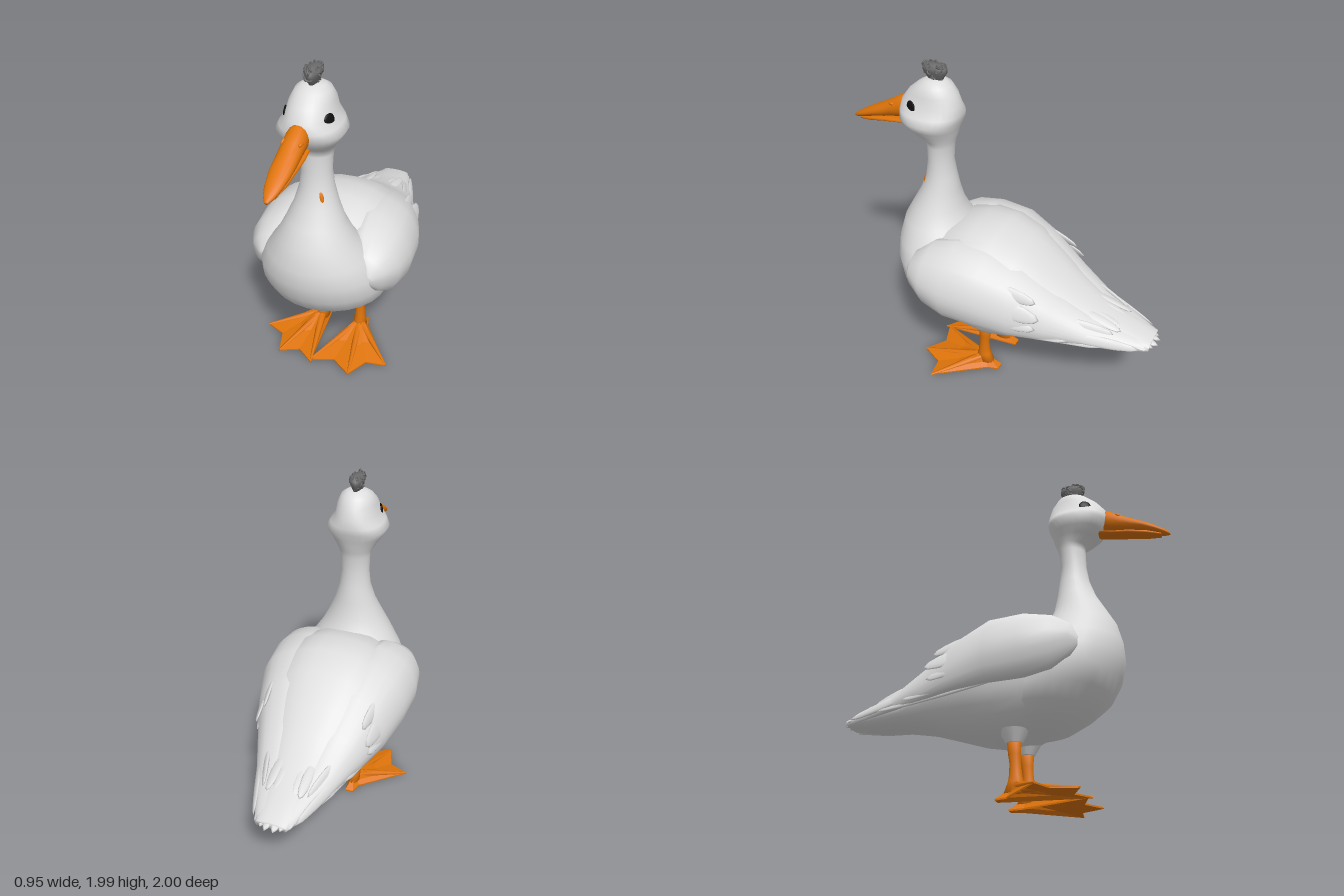
import * as THREE from 'three';

const mat = (name, color) => {
  const m = new THREE.MeshStandardMaterial({ color });
  m.name = name;
  return m;
};
const V = (x, y, z) => new THREE.Vector3(x, y, z);

// Closed skin over a list of rings with equal point counts, wound to face outward
function loft(rings) {
  const n = rings[0].length, pos = [], idx = [];
  rings.forEach(r => r.forEach(p => pos.push(p.x, p.y, p.z)));
  for (let i = 0; i < rings.length - 1; i++)
    for (let j = 0; j < n; j++) {
      const a = i * n + j, b = i * n + (j + 1) % n;
      idx.push(a, b, b + n, a, b + n, a + n);
    }
  [0, rings.length - 1].forEach(i => {
    const c = rings[i].reduce((s, p) => s.add(p), V(0, 0, 0)).divideScalar(n);
    const k = pos.length / 3;
    pos.push(c.x, c.y, c.z);
    for (let j = 0; j < n; j++) {
      const a = i * n + j, b = i * n + (j + 1) % n;
      if (i) idx.push(a, b, k); else idx.push(b, a, k);
    }
  });
  const at = i => V(pos[3 * i], pos[3 * i + 1], pos[3 * i + 2]);
  let volume = 0;
  for (let i = 0; i < idx.length; i += 3) volume += at(idx[i]).dot(at(idx[i + 1]).cross(at(idx[i + 2])));
  if (volume < 0) idx.reverse();
  const g = new THREE.BufferGeometry();
  g.setAttribute('position', new THREE.Float32BufferAttribute(pos, 3));
  g.setIndex(idx);
  g.computeVertexNormals();
  return g;
}

// Oval points (u, v) around the origin; a power below 1 makes it boxier
const oval = (n, power = 1) => Array.from({ length: n }, (_, i) => {
  const a = i / n * Math.PI * 2, f = t => Math.sign(t) * Math.abs(t) ** power;
  return [f(Math.cos(a)), f(Math.sin(a))];
});
// Rows of [z, top, bottom, halfWidth]
const loftZ = (rows, n, power) => loft(rows.map(([z, t, b, w]) =>
  oval(n, power).map(([u, v]) => V(u * w, (t + b) / 2 + v * (t - b) / 2, z))));
// Rows of [y, front, back, halfWidth, power]
const loftY = (rows, n) => loft(rows.map(([y, f, b, w, power]) =>
  oval(n, power).map(([u, v]) => V(u * w, y, (f + b) / 2 + v * (f - b) / 2))));

export function createModel() {
  const model = new THREE.Group();
  const white = mat('white plumage', 0xdedede);
  const orange = mat('orange skin', 0xdf740a);
  const black = mat('black eye', 0x101010);
  const grey = mat('grey tuft', 0x6c6c6c);
  const add = (name, geo, m) => {
    const mesh = new THREE.Mesh(geo, m);
    mesh.name = name;
    model.add(mesh);
    return mesh;
  };
  // Small flat oval spot lying on a surface, facing along a normal
  const spot = (name, m, position, normal, height, width) => {
    const mesh = add(name, new THREE.SphereGeometry(1, 16, 12), m);
    mesh.scale.set(0.009, height, width);
    mesh.position.copy(position);
    mesh.quaternion.setFromUnitVectors(V(1, 0, 0), normal.normalize());
  };

  // Body, from inside the breast to the tail
  add('body', loftZ([
    [0.53, 0.8, 0.64, 0.1], [0.47, 0.9, 0.56, 0.2], [0.4, 0.96, 0.49, 0.28], [0.3, 1.03, 0.415, 0.34],
    [0.15, 1.068, 0.354, 0.375], [0, 1.06, 0.338, 0.38], [-0.15, 0.998, 0.365, 0.35], [-0.3, 0.893, 0.412, 0.29],
    [-0.45, 0.785, 0.458, 0.225], [-0.6, 0.692, 0.484, 0.175], [-0.8, 0.622, 0.498, 0.13], [-0.96, 0.57, 0.527, 0.09]], 32, 0.87), white);
  spot('tailPatch', orange, V(0.095, 0.633, -0.72), V(0.3, 0.9, -0.2), 0.012, 0.012);

  // Breast, neck and head in one skin
  add('breastNeckAndHead', loftY([
    [0.37, 0.27, 0, 0.1], [0.42, 0.395, -0.05, 0.235], [0.49, 0.505, -0.05, 0.31], [0.57, 0.605, -0.05, 0.355],
    [0.67, 0.662, 0, 0.37], [0.78, 0.69, 0.06, 0.352], [0.88, 0.685, 0.15, 0.295], [1, 0.655, 0.25, 0.215],
    [1.1, 0.6, 0.295, 0.165], [1.2, 0.545, 0.315, 0.123], [1.3, 0.51, 0.33, 0.095], [1.4, 0.495, 0.345, 0.085],
    [1.5, 0.493, 0.335, 0.09], [1.54, 0.495, 0.325, 0.1], [1.58, 0.565, 0.31, 0.126, 0.95], [1.62, 0.61, 0.3, 0.153, 0.9],
    [1.67, 0.638, 0.28, 0.182, 0.88], [1.71, 0.645, 0.273, 0.158, 0.88], [1.76, 0.635, 0.28, 0.124, 0.92], [1.82, 0.59, 0.3, 0.116],
    [1.87, 0.53, 0.335, 0.092], [1.892, 0.49, 0.37, 0.06], [1.9, 0.45, 0.41, 0.02]], 28), white);
  spot('neckPatch', orange, V(0.058, 1.265, 0.499), V(0.5, 0.25, 0.85), 0.036, 0.013);

  // Bill
  add('upperBill', loftZ([
    [0.58, 1.77, 1.63, 0.05], [0.65, 1.757, 1.615, 0.06], [0.72, 1.715, 1.605, 0.06], [0.78, 1.68, 1.59, 0.06],
    [0.85, 1.645, 1.575, 0.058], [0.92, 1.605, 1.555, 0.046], [0.97, 1.575, 1.54, 0.03], [1, 1.55, 1.535, 0.01]], 16), orange);
  add('lowerBill', loftZ([
    [0.58, 1.63, 1.595, 0.045], [0.66, 1.607, 1.583, 0.05], [0.76, 1.597, 1.567, 0.05],
    [0.87, 1.575, 1.545, 0.044], [0.95, 1.55, 1.533, 0.025]], 12), orange);

  // Long flat feather between two points, facing along a normal
  const feather = (name, s, from, to, normal, width, thick) => {
    const a = V(from[0] * s, from[1], from[2]), b = V(to[0] * s, to[1], to[2]);
    const dir = b.clone().sub(a), len = dir.length();
    dir.normalize();
    const side = V(normal[0] * s, normal[1], normal[2]).cross(dir).normalize();
    const up = dir.clone().cross(side);
    const m = new THREE.Matrix4().makeBasis(
      side.multiplyScalar(width), up.multiplyScalar(thick), dir.multiplyScalar(len / 2));
    m.setPosition(a.add(b).multiplyScalar(0.5));
    add(name, new THREE.SphereGeometry(1, 12, 8).applyMatrix4(m), white);
  };

  // Wing rows: z, then the top, outermost and bottom points of the section
  const wingRows = [
    [0.49, 0.31, 0.81, 0.34, 0.78, 0.32, 0.75], [0.45, 0.25, 0.9, 0.4, 0.79, 0.36, 0.69],
    [0.35, 0.2, 0.97, 0.455, 0.77, 0.39, 0.62], [0.2, 0.18, 1.01, 0.475, 0.75, 0.41, 0.585],
    [0, 0.17, 1.005, 0.458, 0.74, 0.4, 0.58], [-0.2, 0.15, 0.92, 0.4, 0.69, 0.37, 0.57],
    [-0.4, 0.12, 0.785, 0.32, 0.63, 0.3, 0.555], [-0.6, 0.09, 0.67, 0.24, 0.585, 0.22, 0.54],
    [-0.8, 0.05, 0.61, 0.165, 0.555, 0.155, 0.525], [-0.96, 0.03, 0.565, 0.09, 0.545, 0.08, 0.527]];

  for (const s of [1, -1]) {
    const side = s > 0 ? 'left' : 'right';
    add(side + 'Wing', loft(wingRows.map(([z, tx, ty, ox, oy, bx, by]) => new THREE.CatmullRomCurve3([
      V(s * tx, ty, z), V(s * (tx + 0.72 * (ox - tx)), oy + 0.72 * (ty - oy), z), V(s * ox, oy, z),
      V(s * bx, by, z), V(s * bx * 0.75, by + 0.03, z), V(s * tx * 0.8, (ty + by) / 2, z)], true)
      .getPoints(24).slice(0, 24))), white);

    // Raised wing feathers and the flight feathers running to the tail
    [[[0.39, 0.79, 0], [0.335, 0.725, -0.38], 0.055], [[0.34, 0.875, -0.05], [0.3, 0.81, -0.34], 0.04],
     [[0.43, 0.73, 0.05], [0.34, 0.65, -0.36], 0.045], [[0.44, 0.66, 0.2], [0.265, 0.575, -0.54], 0.04],
     [[0.41, 0.61, 0.2], [0.2, 0.55, -0.72], 0.03], [[0.3, 0.63, -0.35], [0.12, 0.55, -0.92], 0.035],
     [[0.22, 0.68, -0.45], [0.13, 0.61, -0.76], 0.035]]
      .forEach(([a, b, w]) => feather(side + 'WingFeather', s, a, b, [1, 0.45, 0], w, 0.014));

    // Tail fan and rump
    for (let i = 0; i < 3; i++) {
      const x = 0.025 + i * 0.035;
      feather(side + 'TailFeather', s, [x, 0.6, -0.7], [x * 0.95, 0.54, -0.998 + i * 0.02], [0.15, 1, 0], 0.032, 0.014);
      feather(side + 'RumpFeather', s, [x, 0.69, -0.54], [x, 0.62, -0.77 - i * 0.01], [0.3, 1, 0.2], 0.03, 0.012);
    }

    // Eye and nostril
    spot(side + 'Eye', black, V(s * 0.118, 1.755, 0.525), V(s * 0.9, 0.15, 0.36), 0.035, 0.035);
    spot(side + 'Nostril', orange, V(s * 0.047, 1.7, 0.705), V(s * 0.8, 0.5, 0.2), 0.009, 0.018);

    // Leg with a feathered thigh
    add(side + 'Thigh', new THREE.CylinderGeometry(0.085, 0.045, 0.07, 14), white).position.set(s * 0.125, 0.347, 0.08);
    add(side + 'Leg', loftY([
      [0.04, 0.14, 0.02, 0.04], [0.1, 0.132, 0.045, 0.038], [0.13, 0.125, 0.05, 0.033], [0.2, 0.118, 0.054, 0.029],
      [0.25, 0.118, 0.046, 0.032], [0.34, 0.122, 0.038, 0.035]], 12).translate(s * 0.127, 0, 0), orange);

    // Webbed foot: hollow web with scalloped edges between three toes
    const tips = s > 0 ? [[-0.06, 0.46], [0.2, 0.49], [0.39, 0.34]] : [[0.05, 0.48], [0.27, 0.46], [0.43, 0.27]];
    const notch = (a, b) => [(a[0] + b[0]) * 0.42 + 0.02, (a[1] + b[1]) * 0.42 + 0.011];
    const outline = [[0.1, -0.02], [0.09, 0.07], tips[0], notch(tips[0], tips[1]), tips[1],
      notch(tips[1], tips[2]), tips[2], [0.17, 0.05], [0.15, -0.02]];
    const ring = (k, y) => outline.map(([x, z]) => V(s * (0.128 + (x - 0.128) * k), y, 0.07 + (z - 0.07) * k));
    const web = loft([ring(0.2, 0.06), ring(0.55, 0.024), ring(1, 0.003),
      ring(1, 0.012), ring(0.55, 0.04), ring(0.2, 0.085)]).toNonIndexed();
    web.computeVertexNormals();
    add(side + 'Web', web, orange);
    tips.forEach(([x, z]) => {
      const a = V(s * 0.128, 0.07, 0.09), b = V(s * x, 0.008, z);
      const toe = add(side + 'Toe', new THREE.CylinderGeometry(0.006, 0.028, a.distanceTo(b), 8), orange);
      toe.position.copy(a).add(b).multiplyScalar(0.5);
      toe.quaternion.setFromUnitVectors(V(0, 1, 0), b.sub(a).normalize());
    });
  }

  // Curly head tuft
  let seed = 7;
  const rnd = () => (seed = (seed * 16807) % 2147483647) / 2147483647;
  add('tuftCore', loftY([[1.88, 0.465, 0.395, 0.015], [1.91, 0.485, 0.375, 0.026], [1.94, 0.505, 0.355, 0.038],
    [1.965, 0.505, 0.355, 0.042], [1.982, 0.48, 0.38, 0.025]], 14), grey);
  for (let i = 0; i < 40; i++) {
    const h = rnd(), a = rnd() * Math.PI * 2, r = 0.5 + Math.sin(h * 2.6) * 0.5;
    const curl = add('tuftCurl', new THREE.TorusGeometry(0.011, 0.005, 5, 9), grey);
    curl.position.set(Math.cos(a) * 0.036 * r, 1.905 + h * 0.077, 0.43 + Math.sin(a) * 0.07 * r);
    curl.rotation.set(rnd() * 6, rnd() * 6, 0);
  }
  return model;
}
